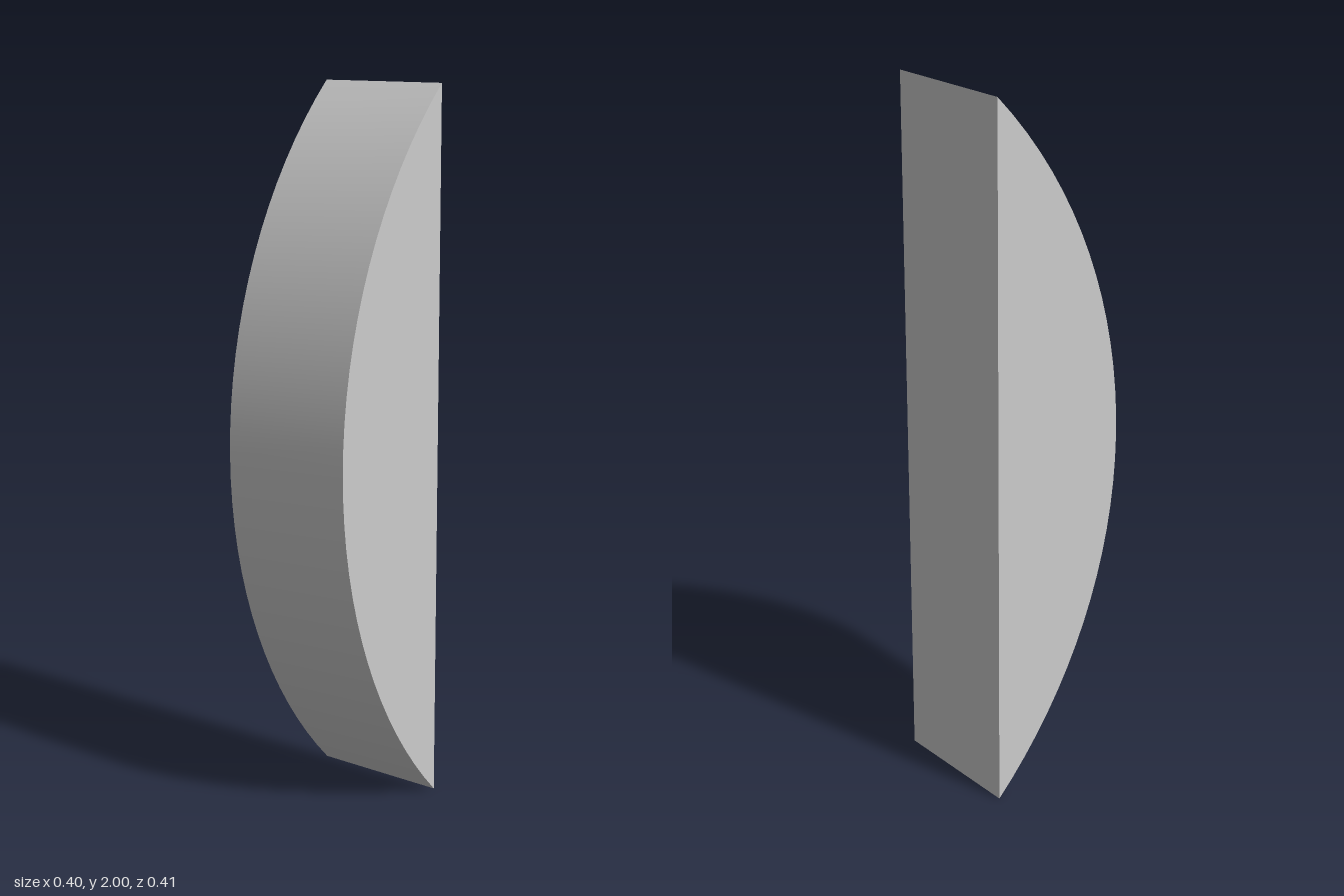
import * as THREE from 'three';
import { toCreasedNormals } from 'three/addons/utils/BufferGeometryUtils.js';

export function createModel() {
  const group = new THREE.Group();
  const width = 0.4;
  const radius = Math.SQRT2; // a quarter circle spanning a chord of 2
  const centreZ = -(radius + 1) / 2; // centres the segment's depth on z = 0

  // Side profile: quarter arc closed by its straight chord at the back
  const profile = new THREE.Shape();
  profile.absarc(centreZ, 1, radius, -Math.PI / 4, Math.PI / 4, false);
  profile.closePath();

  // Extrude across the width, then turn the profile to face +z
  const extruded = new THREE.ExtrudeGeometry(profile, {
    depth: width, bevelEnabled: false, curveSegments: 16,
  });
  extruded.rotateY(-Math.PI / 2).translate(width / 2, 0, 0);

  const arch = new THREE.Mesh(
    toCreasedNormals(extruded, 0.5),
    new THREE.MeshStandardMaterial({ color: 0xcccccc }),
  );
  arch.name = 'curvedBlock';
  group.add(arch);
  return group;
}
